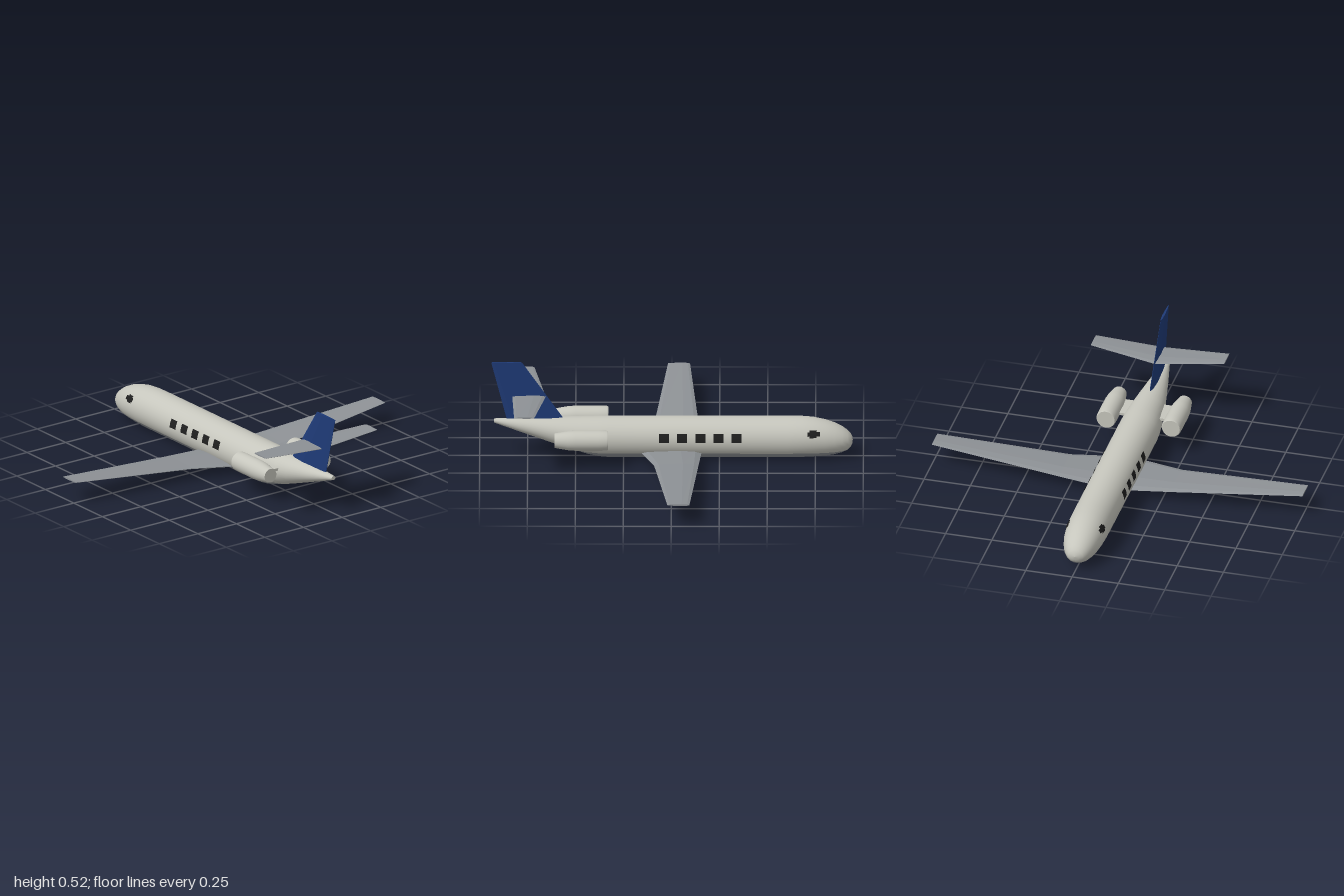
import * as THREE from 'three';

const mat = (name, color, side = THREE.FrontSide) => {
  const m = new THREE.MeshStandardMaterial({ color, side });
  m.name = name;
  return m;
};

// Fuselage stations: x, top y, bottom y, half width
const STATIONS = [
  [-0.945, 0.09, 0.09, 0], [-0.942, 0.108, 0.07, 0.022], [-0.934, 0.124, 0.053, 0.04],
  [-0.918, 0.141, 0.038, 0.056], [-0.89, 0.161, 0.025, 0.072], [-0.85, 0.181, 0.015, 0.086],
  [-0.8, 0.198, 0.008, 0.097], [-0.74, 0.211, 0.004, 0.104], [-0.68, 0.216, 0.001, 0.107],
  [-0.6, 0.217, 0, 0.108], [0.33, 0.217, 0, 0.108], [0.38, 0.217, 0.005, 0.106],
  [0.44, 0.216, 0.018, 0.101], [0.52, 0.215, 0.042, 0.09], [0.6, 0.214, 0.07, 0.077],
  [0.75, 0.212, 0.123, 0.049], [0.925, 0.207, 0.185, 0.012],
];
const BELLY_Y = 0.045;

// Ellipse centre and radii of the fuselage at x
function sectionAt(x) {
  let i = 1;
  while (i < STATIONS.length - 1 && STATIONS[i][0] < x) i++;
  const a = STATIONS[i - 1], b = STATIONS[i];
  const t = (x - a[0]) / (b[0] - a[0]);
  const [top, bottom, rz] = [1, 2, 3].map((k) => a[k] + (b[k] - a[k]) * t);
  return { cy: (top + bottom) / 2, ry: (top - bottom) / 2, rz };
}

// Skin through closed rings of equal length, with flat end caps.
// The first `split` columns form group 0, the others group 1.
function loft(rings, split = Infinity) {
  const n = rings[0].length, pos = rings.flat(2);
  const parts = [[], []];
  for (let i = 0; i < rings.length - 1; i++) {
    for (let j = 0; j < n; j++) {
      const k = (j + 1) % n;
      const a = i * n + j, b = i * n + k, c = b + n, d = a + n;
      parts[j < split ? 0 : 1].push(a, b, c, a, c, d);
    }
  }
  for (const end of [0, rings.length - 1]) {
    const base = pos.length / 3;
    pos.push(...rings[end].flat());
    for (let j = 1; j < n - 1; j++) {
      if (end) parts[0].push(base, base + j, base + j + 1);
      else parts[0].push(base, base + j + 1, base + j);
    }
  }
  const g = new THREE.BufferGeometry();
  g.setAttribute('position', new THREE.Float32BufferAttribute(pos, 3));
  g.setIndex([...parts[0], ...parts[1]]);
  g.addGroup(0, parts[0].length, 0);
  if (parts[1].length) g.addGroup(parts[0].length, parts[1].length, 1);
  g.computeVertexNormals();
  return g;
}

// Aerofoil blade along z; each section is [z, leading x, trailing x, y, thickness]
function blade(sections) {
  const foil = [[0, 0], [0.1, -0.32], [0.35, -0.5], [0.85, -0.26], [1, -0.05],
    [1, 0.05], [0.9, 0.28], [0.35, 0.5], [0.1, 0.32]];
  const g = loft(sections.map(([z, x0, x1, y, th]) =>
    foil.map(([u, v]) => [x0 + (x1 - x0) * u, y + th * v, z]))).toNonIndexed();
  g.clearGroups();
  g.computeVertexNormals();
  return g;
}

// Half-span sections listed from root to tip, mirrored to both sides
const bothSides = (half) => [
  ...half.slice(1).reverse().map(([z, ...rest]) => [-z, ...rest]),
  ...half,
];

export function createModel() {
  const model = new THREE.Group();
  model.name = 'jetAircraft';
  const white = mat('bodyWhite', 0xc6c6bd);
  const grey = mat('wingGrey', 0x8e9296);
  const blue = mat('finBlue', 0x1f3b78);
  const dark = mat('windowDark', 0x1e1e1e, THREE.DoubleSide);

  const add = (name, geometry, material, parent = model) => {
    const mesh = new THREE.Mesh(geometry, material);
    mesh.name = name;
    parent.add(mesh);
    return mesh;
  };

  // Fuselage with the belly in a second colour below a level line
  const UP = 32, DOWN = 16;
  const rings = STATIONS.map(([x]) => {
    const { cy, ry, rz } = sectionAt(x);
    const s = ry > 0 ? (BELLY_Y - cy) / ry : -1;
    const cut = Math.asin(THREE.MathUtils.clamp(s, -1, 1));
    const ring = [];
    for (let j = 0; j < UP + DOWN; j++) {
      const t = j < UP
        ? cut + (Math.PI - 2 * cut) * (j / UP)
        : Math.PI - cut + (Math.PI + 2 * cut) * ((j - UP) / DOWN);
      ring.push([x, cy + ry * Math.sin(t), -rz * Math.cos(t)]);
    }
    return ring;
  });
  add('fuselage', loft(rings, UP), [white, grey]);

  // Main wing, tailplane and fin
  add('wing', blade(bothSides([
    [0, -0.16, 0.19, 0.043, 0.04], [0.1, -0.155, 0.15, 0.048, 0.036],
    [0.3, -0.141, 0.09, 0.062, 0.026], [1, -0.095, 0.02, 0.119, 0.01],
  ])), grey);
  add('tailplane', blade(bothSides([
    [0, 0.655, 0.83, 0.33, 0.02], [0.36, 0.715, 0.82, 0.352, 0.008],
  ])), grey);
  const fin = blade([[0.19, 0.55, 0.855, 0, 0.028], [0.522, 0.78, 0.94, 0, 0.013]]);
  add('tailFin', fin.rotateX(-Math.PI / 2), blue);

  // Window plate bent onto the fuselage skin
  const windowPlate = (name, x, y, w, h, side) => {
    const g = new THREE.PlaneGeometry(w, h, 4, 6).translate(x, y, 0);
    const p = g.attributes.position;
    for (let i = 0; i < p.count; i++) {
      const { cy, ry, rz } = sectionAt(p.getX(i));
      const v = (p.getY(i) - cy) / ry;
      p.setZ(i, side * (rz * Math.sqrt(Math.max(0, 1 - v * v)) + 0.003));
    }
    if (side < 0) g.index.array.reverse();
    g.computeVertexNormals();
    add(name, g, dark);
  };

  // Engine outline turned about its axis: radius, distance from the inlet
  const outline = [[0, 0], [0.048, 0], [0.048, 0], [0.052, 0.008], [0.053, 0.05], [0.053, 0.17],
    [0.05, 0.21], [0.038, 0.28], [0.038, 0.28], [0, 0.28]]
    .map(([r, d]) => new THREE.Vector2(r, d));

  for (const side of [1, -1]) {
    const label = side > 0 ? 'Front' : 'Back';
    for (let i = 0; i < 5; i++) {
      windowPlate(`cabinWindow${label}${i + 1}`, -0.339 + i * 0.0945, 0.137, 0.052, 0.045, side);
    }
    windowPlate(`cockpitWindow${label}Wide`, -0.742, 0.156, 0.064, 0.02, side);
    windowPlate(`cockpitWindow${label}Tall`, -0.738, 0.156, 0.036, 0.036, side);

    // Engine pod and its pylon
    const engine = new THREE.Group();
    engine.name = `engine${label}`;
    model.add(engine);
    const pod = new THREE.LatheGeometry(outline, 32).rotateZ(-Math.PI / 2);
    add('nacelle', pod, white, engine).position.set(0.33, 0.153, side * 0.176);
    const pylon = new THREE.BoxGeometry(0.14, 0.014, 0.08);
    add('pylon', pylon, white, engine).position.set(0.48, 0.15, side * 0.105);
  }
  return model;
}
